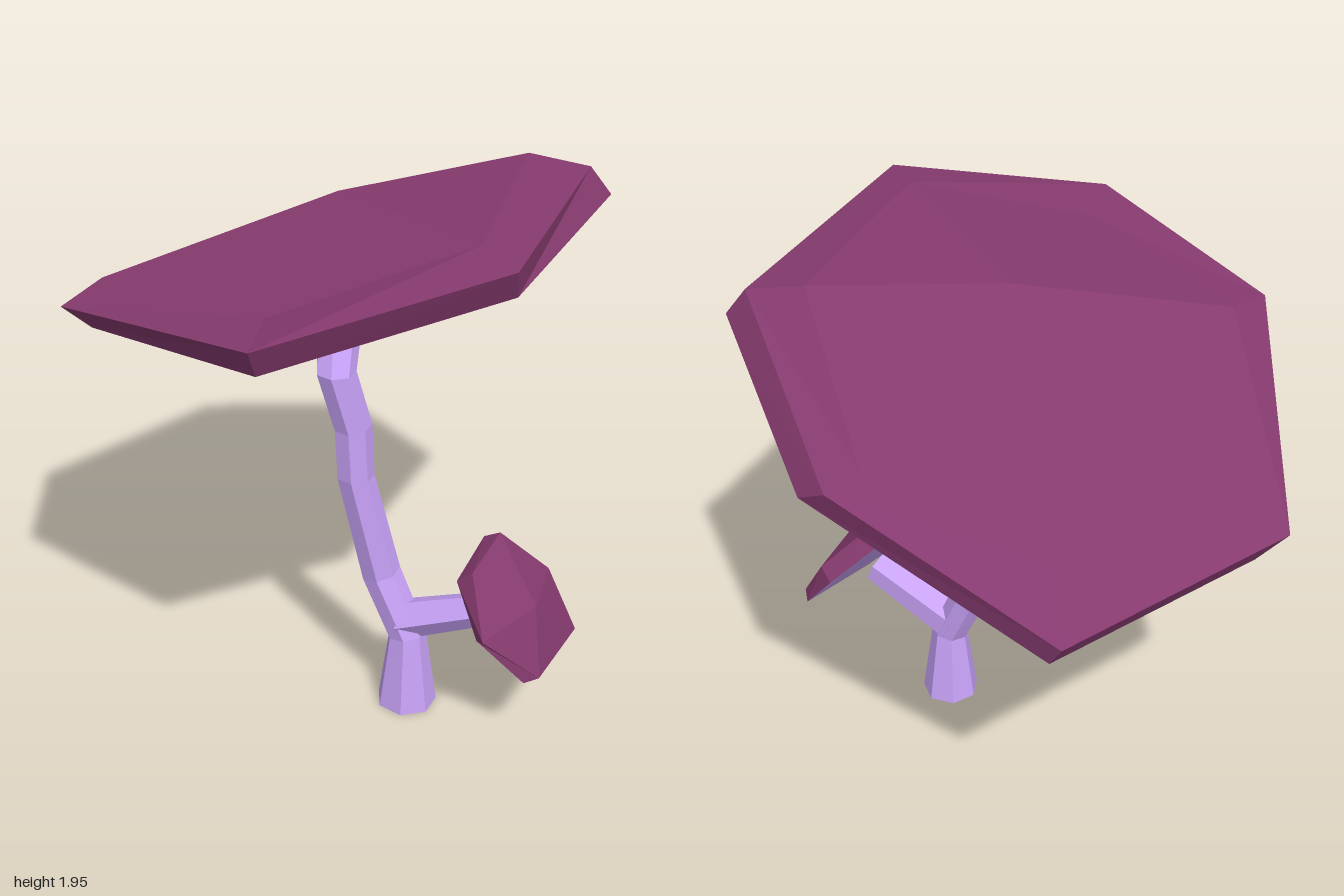
import * as THREE from 'three';

const V = (p) => new THREE.Vector3(...p);
const capMat = new THREE.MeshStandardMaterial({ color: 0x853a6e, flatShading: true });
const stemMat = new THREE.MeshStandardMaterial({ color: 0xc8a2f8, flatShading: true });

// Skin a stack of equal-length rings; a single-point ring closes an end.
function loft(name, rings, material) {
  const n = Math.max(...rings.map((r) => r.length));
  const pos = [];
  for (let k = 0; k + 1 < rings.length; k++) {
    const at = (r, i) => r[i % r.length];
    const a = rings[k], b = rings[k + 1];
    for (let i = 0; i < n; i++) {
      if (a.length > 1) pos.push(...at(a, i), ...at(a, i + 1), ...at(b, i + 1));
      if (b.length > 1) pos.push(...at(a, i), ...at(b, i + 1), ...at(b, i));
    }
  }
  const g = new THREE.BufferGeometry();
  g.setAttribute('position', new THREE.Float32BufferAttribute(pos, 3));
  g.computeVertexNormals();
  const mesh = new THREE.Mesh(g, material);
  mesh.name = name;
  return mesh;
}

// Regular ring around a centre, facing along the given direction.
function ring(center, radius, dir = [0, 1, 0], sides = 7) {
  const q = new THREE.Quaternion().setFromUnitVectors(new THREE.Vector3(0, 1, 0), V(dir).normalize());
  return Array.from({ length: sides }, (_, i) => {
    const a = ((i + 0.5) / sides) * Math.PI * 2;
    return new THREE.Vector3(Math.sin(a) * radius, 0, Math.cos(a) * radius)
      .applyQuaternion(q).add(V(center)).toArray();
  });
}

// Mushroom cap: coloured top and rim, pale underside.
function cap(name, topRings, underRings) {
  const g = new THREE.Group();
  g.name = name;
  g.add(loft(name + 'Top', topRings, capMat), loft(name + 'Underside', underRings, stemMat));
  return g;
}

export function createModel() {
  const model = new THREE.Group();
  model.name = 'mushroom';

  // Crooked stem
  const stem = [
    ring([0.208, 0, 0.317], 0.107),
    ring([0.205, 0.29, 0.317], 0.068, [-0.15, 1, -0.1]),
    ring([0.122, 0.52, 0.253], 0.07, [-0.25, 1, -0.05]),
    ring([0.028, 0.92, 0.253], 0.066),
    ring([0.018, 1.11, 0.253], 0.066, [-0.1, 1, 0]),
    ring([-0.04, 1.32, 0.253], 0.068),
    ring([0.045, 1.71, 0.035], 0.09, [0.09, 0.38, -0.26]),
  ];
  model.add(loft('stem', [[[0.208, 0, 0.317]], ...stem, [[0.045, 1.71, 0.035]]], stemMat));

  // Side branch carrying the small cap
  const dir = [0.28, 0.14, 0.2];
  model.add(loft('branch', [
    [[0.19, 0.34, 0.3]],
    ring([0.19, 0.34, 0.3], 0.075, dir, 5),
    ring([0.47, 0.48, 0.5], 0.06, dir, 5),
    [[0.47, 0.48, 0.5]],
  ], stemMat));

  // Large tilted cap, rings counter-clockwise from the back corner
  const rimLow = [[0, 1.19, -0.96], [-0.72, 1.19, -0.53], [-0.82, 1.59, 0.32], [-0.43, 1.69, 0.95],
    [0.34, 1.83, 0.9], [0.91, 1.81, 0.15], [0.71, 1.54, -0.52]];
  const rimTop = [[-0.03, 1.27, -1], [-0.83, 1.27, -0.52], [-0.91, 1.67, 0.32], [-0.46, 1.79, 1],
    [0.32, 1.93, 0.95], [0.84, 1.905, 0.13], [0.63, 1.6, -0.6]];
  const topInner = [[0, 1.41, -0.76], [-0.68, 1.38, -0.44], [-0.77, 1.7, 0.2], [-0.37, 1.78, 0.77],
    [0.27, 1.945, 0.77], [0.65, 1.942, 0.06], [0.52, 1.645, -0.55]];
  const lowInner = [[0, 1.34, -0.72], [-0.52, 1.34, -0.42], [-0.64, 1.645, 0.22], [-0.34, 1.745, 0.74],
    [0.27, 1.86, 0.72], [0.71, 1.76, 0.1], [0.54, 1.58, -0.45]];
  // The hollow steps up in front of the stem tip
  const back = [0.04, 1.65, -0.02], front = [0.04, 1.79, 0.12];
  const hollow = [back, back, front, front, front, front, back];
  model.add(cap('largeCap', [rimLow, rimTop, topInner, [[0, 1.885, 0.11]]], [hollow, lowInner, rimLow]));

  // Small cap facing forward and to the side
  const smallLow = [[0.46, 0.68, 0.36], [0.31, 0.635, 0.54], [0.345, 0.475, 0.67],
    [0.5, 0.315, 0.725], [0.745, 0.35, 0.47], [0.65, 0.52, 0.36]];
  const smallTop = [[0.5, 0.72, 0.41], [0.35, 0.685, 0.58], [0.35, 0.5, 0.72],
    [0.55, 0.335, 0.735], [0.75, 0.365, 0.53], [0.68, 0.555, 0.42]];
  model.add(cap('smallCap', [smallLow, smallTop, [[0.56, 0.56, 0.635]]], [[[0.49, 0.5, 0.52]], smallLow]));
  return model;
}
